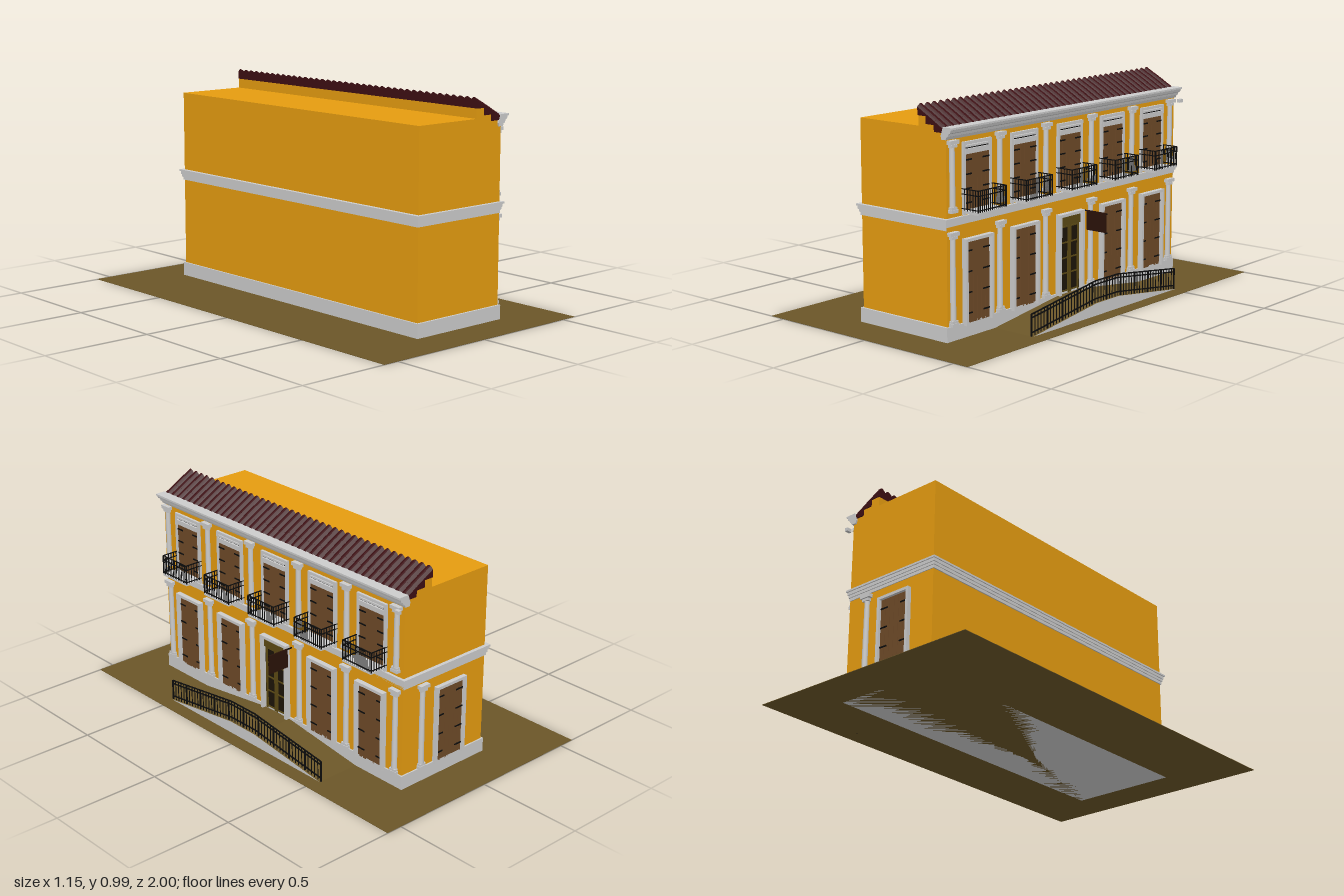
import * as THREE from 'three';
import { mergeGeometries } from 'three/addons/utils/BufferGeometryUtils.js';

const mat = (color) => new THREE.MeshStandardMaterial({ color });
const stone = mat(0xcccccc), paint = mat(0xe59c10), wood = mat(0x6e4a28), iron = mat(0x0c0c0c);
const tile = mat(0x3d0f13), earth = mat(0x6b5628), olive = mat(0x5c4a14), glass = mat(0x1c1408), board = mat(0x2a1208);

function add(parent, name, geometry, material) {
  const mesh = new THREE.Mesh(geometry, material);
  mesh.name = name;
  parent.add(mesh);
  return mesh;
}

// Box given by its extents along each axis
function block(x0, x1, y0, y1, z0, z1) {
  return new THREE.BoxGeometry(x1 - x0, y1 - y0, z1 - z0)
    .translate((x0 + x1) / 2, (y0 + y1) / 2, (z0 + z1) / 2);
}

// Square bar between two points
function bar(a, b, t = 0.003) {
  const A = new THREE.Vector3(...a), B = new THREE.Vector3(...b);
  const dir = B.clone().sub(A);
  const q = new THREE.Quaternion().setFromUnitVectors(new THREE.Vector3(0, 1, 0), dir.clone().normalize());
  const mid = A.add(B).multiplyScalar(0.5);
  return new THREE.BoxGeometry(t, dir.length(), t).applyQuaternion(q).translate(mid.x, mid.y, mid.z);
}

const outline = (pts) => new THREE.Shape(pts.map((p) => new THREE.Vector2(...p)));

// Profile in x and y, swept along z
function sweepZ(pts, z0, z1) {
  return new THREE.ExtrudeGeometry(outline(pts), { depth: z1 - z0, bevelEnabled: false }).translate(0, 0, z0);
}

// Profile in z and y, swept along x
function sweepX(pts, x0, x1) {
  return new THREE.ExtrudeGeometry(outline(pts.map(([z, y]) => [-z, y])), { depth: x1 - x0, bevelEnabled: false })
    .rotateY(Math.PI / 2).translate(x0, 0, 0);
}

// Group whose local +z points out of the wall
function onWall(parent, name, x, z, angle) {
  const g = new THREE.Group();
  g.name = name;
  g.position.set(x, 0, z);
  g.rotation.y = angle;
  parent.add(g);
  return g;
}

function column(g, y0, y1) {
  const shaft = new THREE.CylinderGeometry(0.012, 0.014, y1 - y0, 12).translate(0, (y0 + y1) / 2, 0.004);
  add(g, 'column', mergeGeometries([
    shaft,
    block(-0.02, 0.02, y0, y0 + 0.014, 0, 0.02),
    block(-0.017, 0.017, y0 + 0.014, y0 + 0.024, 0, 0.018),
    block(-0.018, 0.018, y1 - 0.03, y1 - 0.018, 0, 0.018),
    block(-0.027, 0.027, y1 - 0.016, y1, 0, 0.022),
  ]), stone);
}

function frame(g, w, y0, y1, depth) {
  const h = w / 2, t = 0.013;
  add(g, 'frame', mergeGeometries([
    block(-h, -h + t, y0, y1, -0.005, depth),
    block(h - t, h, y0, y1, -0.005, depth),
    block(-h + t, h - t, y1 - t, y1, -0.005, depth),
  ]), stone);
}

// Two plank leaves with strap hinges
function shutters(g, w, y0, y1, hinges) {
  const h = w / 2;
  const planks = [], straps = [];
  for (const s of [-1, 1]) {
    for (let i = 0; i < 3; i++) {
      const x = s * (h * (i + 0.5) / 3), r = h / 6 - 0.0008;
      planks.push(block(x - r, x + r, y0, y1, 0, 0.007));
    }
    for (let i = 0; i < hinges; i++) {
      const y = y0 + (y1 - y0) * (0.12 + 0.76 * i / (hinges - 1));
      const x = s * (h - 0.02);
      straps.push(block(x - 0.02, x + 0.02, y - 0.003, y + 0.003, 0.005, 0.01));
    }
  }
  add(g, 'shutters', mergeGeometries(planks), wood);
  add(g, 'hinges', mergeGeometries(straps), iron);
}

function balcony(g) {
  const h = 0.086, y0 = 0.545, y1 = 0.636, d = 0.09;
  add(g, 'balconySlab', mergeGeometries([
    block(-h, h, 0.537, 0.545, 0, d + 0.003),
    block(-h + 0.008, h - 0.008, 0.531, 0.537, 0, d - 0.006),
  ]), stone);
  const bars = [];
  for (const y of [y0 + 0.008, y1 - 0.022, y1]) {
    bars.push(bar([-h, y, d], [h, y, d], 0.004));
    for (const s of [-h, h]) bars.push(bar([s, y, 0], [s, y, d], 0.004));
  }
  for (let i = 0; i <= 14; i++) {
    const x = -h + 2 * h * i / 14;
    bars.push(bar([x, y0, d], [x, y1, d], i % 14 ? 0.0025 : 0.005));
  }
  for (let i = 1; i < 6; i++)
    for (const s of [-h, h]) bars.push(bar([s, y0, d * i / 6], [s, y1, d * i / 6], 0.0025));
  add(g, 'balconyRailing', mergeGeometries(bars), iron);
}

function entrance(g) {
  frame(g, 0.175, 0.058, 0.425, 0.026);
  add(g, 'entranceTransom', block(-0.074, 0.074, 0.368, 0.412, 0, 0.012), olive);
  add(g, 'entranceGlass', block(-0.074, 0.074, 0.06, 0.37, 0, 0.004), glass);
  const rails = [];
  for (const s of [-1, 1]) {
    for (const x of [0.006, 0.062]) rails.push(block(s * x - 0.005, s * x + 0.005, 0.06, 0.368, 0, 0.009));
    for (const y of [0.07, 0.15, 0.22, 0.29, 0.362])
      rails.push(block(s * 0.034 - 0.028, s * 0.034 + 0.028, y - 0.003, y + 0.003, 0, 0.008));
  }
  add(g, 'entranceLeaves', mergeGeometries(rails), olive);
}

export function createModel() {
  const model = new THREE.Group();
  const Z0 = -0.79, Z1 = 0.805, FRONT = 0.29;

  add(model, 'ground', block(-0.575, 0.575, 0, 0.002, -1, 1), earth);
  add(model, 'plinth', block(-0.208, 0.297, 0, 0.066, Z0 - 0.007, Z1 + 0.01), stone);

  // Walls with the stepped parapet that carries the tiles
  add(model, 'walls', sweepZ([[-0.2, 0.02], [FRONT, 0.02], [FRONT, 0.86], [0.28, 0.875], [0.235, 0.875], [0.235, 0.905],
    [0.185, 0.905], [0.185, 0.937], [0.138, 0.937], [0.138, 0.893], [-0.2, 0.893]], Z0, Z1), paint);

  // Moulded band between the storeys
  const steps = [[0.473, 0.487, 0.004], [0.487, 0.5, 0.008], [0.5, 0.514, 0.012], [0.514, 0.523, 0.017]];
  add(model, 'middleBand', mergeGeometries(steps.map(([a, b, o]) =>
    block(-0.202 - o, 0.286 + o, a, b, Z0 - o, Z1 + o))), stone);

  // Cornice under the eaves
  add(model, 'cornice', sweepZ([[0.268, 0.865], [0.272, 0.85], [0.295, 0.85], [0.3, 0.862], [0.307, 0.864], [0.31, 0.875],
    [0.32, 0.88], [0.324, 0.892], [0.331, 0.894], [0.331, 0.902], [0.28, 0.902]], Z0 - 0.008, Z1 + 0.008), stone);

  // Three overlapping rows of barrel tiles
  const barrels = 40, slope = 0.55;
  [[0.138, 0.937, 0.972], [0.183, 0.905, 0.948], [0.229, 0.877, 0.922]].forEach(([x, bottom, top]) => {
    const a = Z0 - 0.004, b = Z1 + 0.006, pts = [[a, bottom], [b, bottom]];
    for (let i = barrels * 6; i >= 0; i--)
      pts.push([a + (b - a) * i / (barrels * 6), top + 0.013 * Math.abs(Math.sin(Math.PI * i / 6))]);
    const geo = sweepX(pts, x, x + 0.053), p = geo.attributes.position;
    for (let i = 0; i < p.count; i++)
      if (p.getY(i) > bottom + 0.005) p.setY(i, p.getY(i) - (p.getX(i) - x) * slope);
    geo.computeVertexNormals();
    add(model, 'roofTiles', geo, tile);
  });

  // Facade columns on both storeys
  for (const z of [0.775, 0.48, 0.175, -0.145, -0.45, -0.75]) {
    const g = onWall(model, 'facadeColumns', FRONT, z, Math.PI / 2);
    column(g, 0.066, 0.465);
    column(g, 0.545, 0.846);
  }
  add(model, 'looseCapital', block(0.32, 0.336, 0.83, 0.846, -0.8, -0.775), stone);

  // Facade openings
  [0.625, 0.32, 0.01, -0.3, -0.605].forEach((z, i) => {
    const low = onWall(model, i === 2 ? 'entrance' : 'lowerDoor', FRONT, z, Math.PI / 2);
    if (i === 2) entrance(low);
    else {
      frame(low, 0.175, 0.055, 0.425, 0.024);
      shutters(low, 0.15, 0.06, 0.412, 4);
    }
    const up = onWall(model, 'upperWindow', FRONT, z, Math.PI / 2);
    frame(up, 0.175, 0.525, 0.83, 0.012);
    shutters(up, 0.15, 0.545, 0.782, 4);
    add(up, 'windowHead', mergeGeometries([
      block(-0.075, 0.075, 0.778, 0.8, 0, 0.014),
      block(-0.07, 0.07, 0.806, 0.815, 0, 0.014),
    ]), stone);
    add(up, 'windowHeadGap', block(-0.075, 0.075, 0.8, 0.806, 0, 0.006), iron);
    balcony(up);
  });

  // Door and column on the end wall
  const side = onWall(model, 'sideDoor', 0.015, Z0, Math.PI);
  frame(side, 0.18, 0.055, 0.425, 0.02);
  shutters(side, 0.154, 0.06, 0.412, 4);
  column(onWall(model, 'sideColumn', 0.18, Z0, Math.PI), 0.066, 0.465);

  // Hanging sign board
  add(model, 'signBoard', block(0.316, 0.424, 0.33, 0.42, -0.094, -0.088), board);
  add(model, 'signBracket', bar([0.285, 0.417, -0.091], [0.424, 0.417, -0.091], 0.005), iron);

  // Double ramp: earth on top, stone at the sides
  const flat = 0.08, end = 0.515, rise = 0.058;
  add(model, 'ramp', sweepX([[-end, 0.002], [end, 0.002], [flat, rise], [-flat, rise]], 0.295, 0.508), [stone, earth]);

  // Ramp handrail following the slope
  const level = (z) => rise * Math.min(1, (end - Math.abs(z)) / (end - flat));
  const x = 0.5, rails = [], stops = [-end, -flat, flat, end];
  for (const h of [0.018, 0.083, 0.099])
    for (let i = 0; i < 3; i++) {
      const a = stops[i], b = stops[i + 1];
      rails.push(bar([x, level(a) + h, a], [x, level(b) + h, b], 0.005));
    }
  for (let i = 0; i <= 50; i++) {
    const z = -end + 2 * end * i / 50;
    rails.push(bar([x, level(z), z], [x, level(z) + 0.099, z], i % 5 ? 0.003 : 0.006));
  }
  add(model, 'rampRailing', mergeGeometries(rails), iron);

  return model;
}
